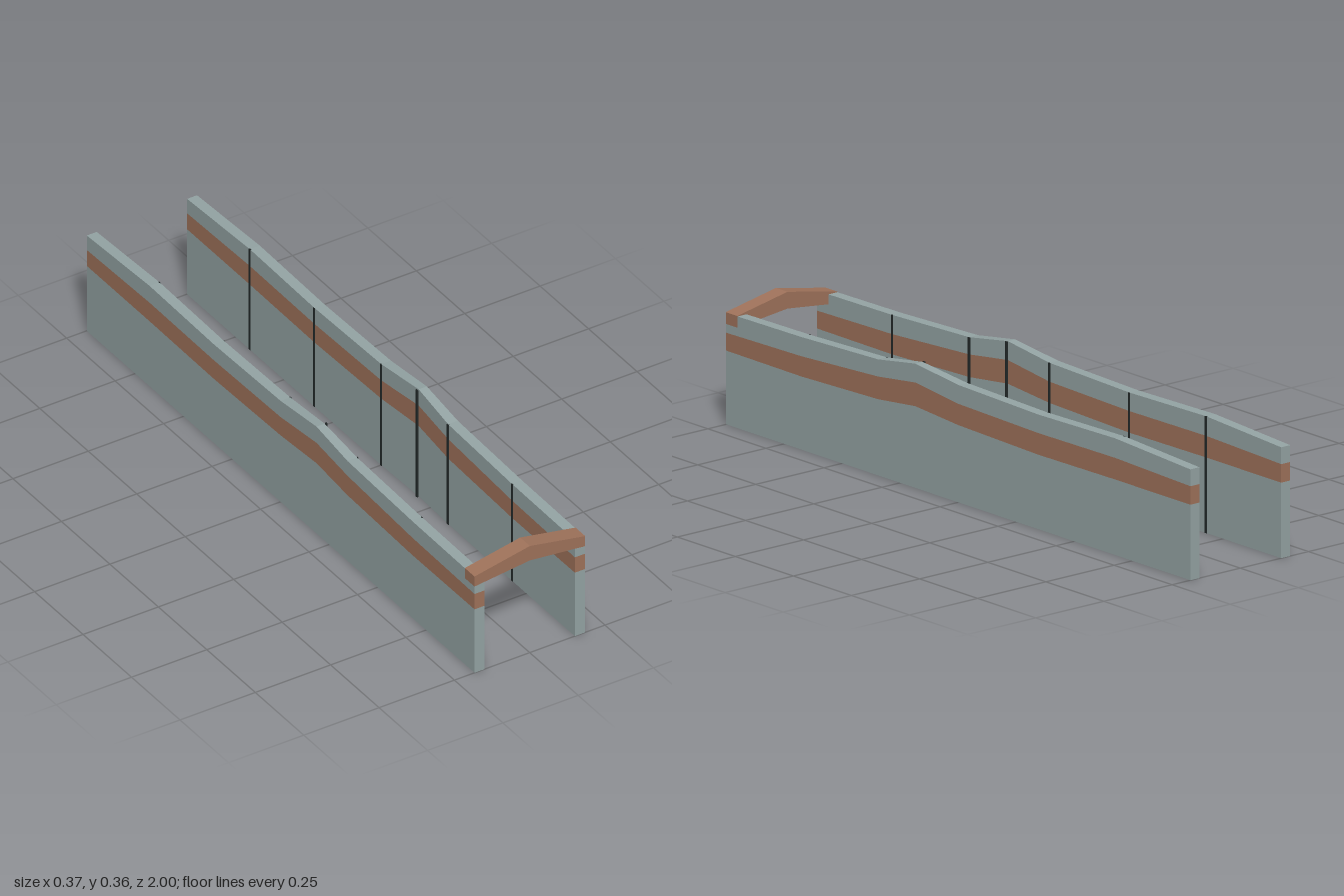
import * as THREE from 'three';

const mat = (color) => new THREE.MeshStandardMaterial({ color, flatShading: true });

// Wall stations from front to back: [z, stripe bottom, stripe top, wall top, inner x]
const STATIONS = [
  [1.0, 0.215, 0.267, 0.325, 0.15],
  [0.676, 0.213, 0.272, 0.328, 0.15],
  [0.345, 0.222, 0.288, 0.338, 0.151],
  [0.185, 0.238, 0.307, 0.362, 0.156],
  [0.0, 0.225, 0.287, 0.342, 0.151],
  [-0.345, 0.217, 0.28, 0.334, 0.15],
  [-0.676, 0.22, 0.283, 0.34, 0.15],
  [-1.0, 0.22, 0.274, 0.323, 0.15],
];
const OUTER = 0.183;

// One horizontal layer of a wall: a segmented box whose rings follow the stations
function wallLayer(side, layer) {
  const n = STATIONS.length - 1;
  const geo = new THREE.BoxGeometry(1, 1, 1, 1, 1, n);
  const p = geo.attributes.position;
  for (let i = 0; i < p.count; i++) {
    const s = STATIONS[Math.round((0.5 - p.getZ(i)) * n)];
    const levels = [0, s[1], s[2], s[3]];
    const outside = p.getX(i) * side > 0;
    const y = levels[p.getY(i) > 0 ? layer + 1 : layer];
    p.setXYZ(i, side * (outside ? OUTER : s[4]), y, s[0]);
  }
  const flat = geo.toNonIndexed();
  flat.computeVertexNormals();
  return flat;
}

export function createModel() {
  const model = new THREE.Group();
  model.name = 'walledPassage';
  const stone = mat(0x95a5a5);
  const copper = mat(0xa0735b);
  const dark = mat(0x222828);

  const add = (parent, name, geo, material) => {
    const mesh = new THREE.Mesh(geo, material);
    mesh.name = name;
    parent.add(mesh);
    return mesh;
  };

  for (const side of [1, -1]) {
    const wall = new THREE.Group();
    wall.name = side > 0 ? 'leftWall' : 'rightWall';
    model.add(wall);

    // Stone base, coloured stripe and stone coping
    add(wall, 'wallBase', wallLayer(side, 0), stone);
    add(wall, 'wallStripe', wallLayer(side, 1), copper);
    add(wall, 'wallTop', wallLayer(side, 2), stone);

    // Thin dark joint strips on the inner face
    for (const [z, , , top] of STATIONS.slice(1, -1)) {
      const strip = add(wall, 'jointStrip', new THREE.BoxGeometry(0.004, top, 0.008), dark);
      strip.position.set(side * 0.1505, top / 2, z);
    }
  }

  // Peaked beam spanning the front ends, a hair proud of the walls
  const w = OUTER + 0.0008;
  const outline = new THREE.Shape([
    [-w, 0.293], [0, 0.313], [w, 0.293], [w, 0.327], [0, 0.362], [-w, 0.327],
  ].map(([x, y]) => new THREE.Vector2(x, y)));
  const beam = new THREE.ExtrudeGeometry(outline, { depth: 0.05, bevelEnabled: false });
  add(model, 'frontBeam', beam, copper).position.z = 0.9508;

  return model;
}
